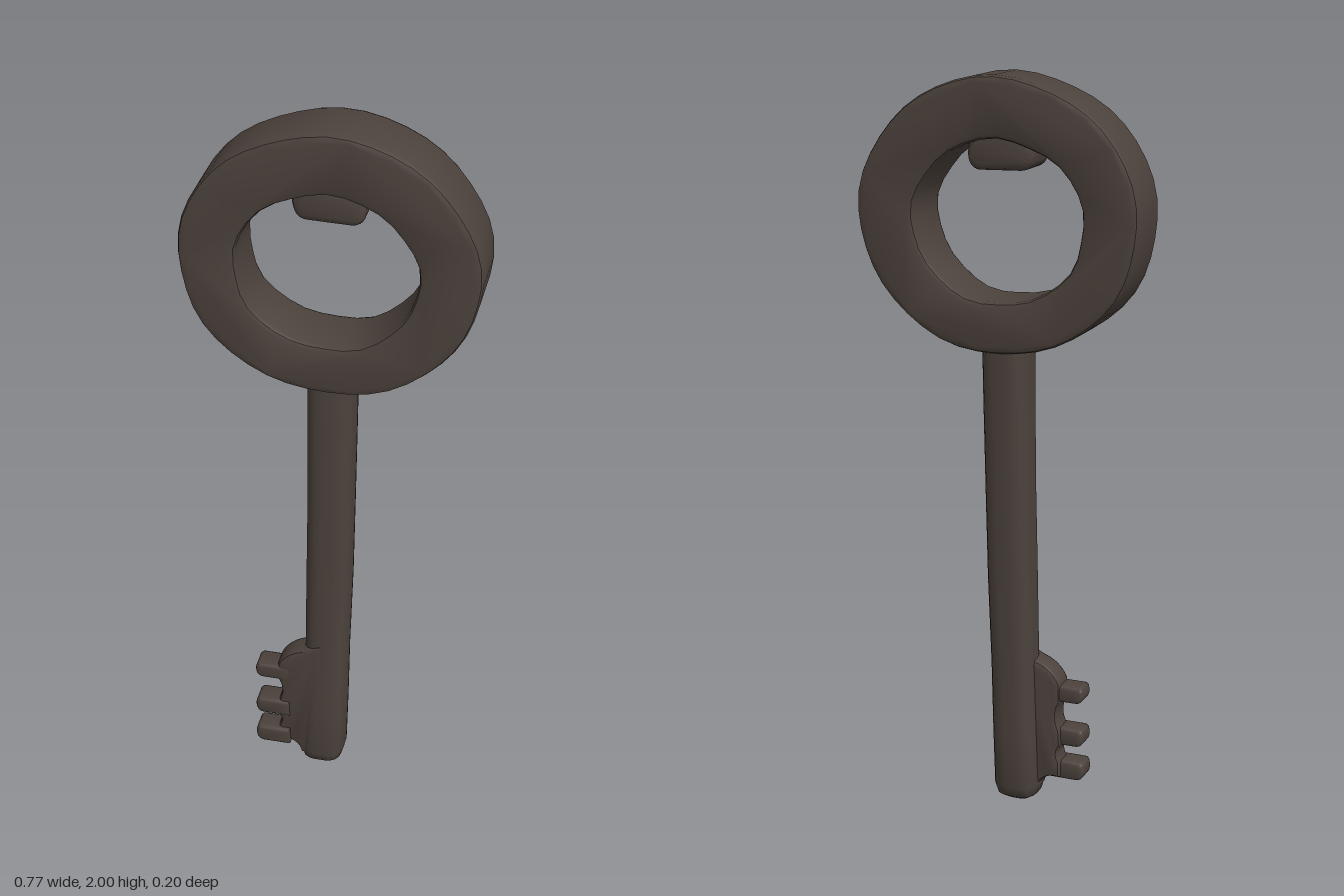
import * as THREE from 'three';
import { toCreasedNormals } from 'three/addons/utils/BufferGeometryUtils.js';

// Move every vertex of a geometry by a rule
function warp(geometry, rule) {
  const p = geometry.attributes.position;
  const v = new THREE.Vector3();
  for (let i = 0; i < p.count; i++) {
    rule(v.fromBufferAttribute(p, i));
    p.setXYZ(i, v.x, v.y, v.z);
  }
  geometry.computeVertexNormals();
  return geometry;
}

// Slightly uneven oval outline
function oval(PathType, rx, ry, cx, cy, wobble, count) {
  const points = [];
  for (let i = 0; i < count; i++) {
    const a = (i / count) * Math.PI * 2;
    const k = 1 + wobble * Math.sin(5 * a + 1) + wobble * 0.6 * Math.sin(9 * a);
    points.push(new THREE.Vector2(cx + Math.cos(a) * rx * k, cy + Math.sin(a) * ry * k));
  }
  return new PathType(points);
}

// Bevelled plate centred on z = 0
function plate(shape, depth, bevel) {
  return new THREE.ExtrudeGeometry(shape, {
    depth: depth - 2 * bevel, bevelEnabled: true, bevelThickness: bevel,
    bevelSize: bevel, bevelOffset: -bevel, bevelSegments: 2, curveSegments: 8,
  }).translate(0, 0, -depth / 2 + bevel);
}

export function createModel() {
  const key = new THREE.Group();
  key.name = 'key';
  const iron = new THREE.MeshStandardMaterial({ color: 0x4c423c });
  iron.name = 'dark iron';

  const add = (name, geometry) => {
    const mesh = new THREE.Mesh(geometry, iron);
    mesh.name = name;
    key.add(mesh);
  };

  // Thick ring handle, leaning back a little
  const ringShape = oval(THREE.Shape, 0.384, 0.357, 0, 1.645, 0.006, 44);
  ringShape.holes.push(oval(THREE.Path, 0.232, 0.21, -0.005, 1.633, 0.012, 32));
  const ring = warp(plate(ringShape, 0.175, 0.015), (v) => {
    v.z += -0.004 - (v.y - 1.645) * 0.018 - (v.z < 0 ? v.x * 0.015 : 0);
  });
  add('ring', toCreasedNormals(ring, 0.7));

  // Shaft end poking through the top of the ring's hole
  const lugShape = new THREE.Shape();
  lugShape.moveTo(-0.085, 1.86);
  lugShape.lineTo(-0.095, 1.81);
  lugShape.quadraticCurveTo(-0.092, 1.765, -0.055, 1.763);
  lugShape.lineTo(0.06, 1.76);
  lugShape.quadraticCurveTo(0.092, 1.765, 0.09, 1.81);
  lugShape.lineTo(0.08, 1.86);
  add('ringLug', toCreasedNormals(plate(lugShape, 0.13, 0.02), 0.8));

  // Shaft: rounded-square rod that drifts sideways and forward toward the foot
  const profile = [
    [0, 0], [0.035, 0.004], [0.055, 0.018], [0.062, 0.045], [0.061, 0.2], [0.059, 0.4],
    [0.061, 0.65], [0.061, 0.9], [0.062, 1.15], [0.063, 1.36], [0, 1.36],
  ].map(([r, y]) => new THREE.Vector2(r, y));
  const shaft = warp(new THREE.LatheGeometry(profile, 24), (v) => {
    const a = Math.atan2(v.z, v.x);
    const square = 1 + 0.07 * (1 - Math.cos(4 * a));
    const t = 1 - v.y / 1.3;
    v.x = v.x * square - 0.003 - 0.022 * t * t;
    v.z = v.z * square * 1.05 + 0.033 * t;
    v.y += 0.008;
  });
  add('shaft', toCreasedNormals(shaft, 0.8));

  // Bit web between the shaft and the teeth
  const web = new THREE.Shape();
  web.moveTo(-0.02, 0.45);
  web.lineTo(-0.075, 0.42);
  web.quadraticCurveTo(-0.125, 0.405, -0.145, 0.36);
  web.lineTo(-0.145, 0.305);
  web.quadraticCurveTo(-0.125, 0.265, -0.145, 0.225);
  web.lineTo(-0.148, 0.18);
  web.quadraticCurveTo(-0.13, 0.155, -0.145, 0.13);
  web.lineTo(-0.145, 0.085);
  web.quadraticCurveTo(-0.09, 0.09, -0.08, 0.04);
  web.lineTo(-0.02, 0.04);
  add('bitWeb', toCreasedNormals(plate(web, 0.075, 0.012).translate(0, 0, 0.05), 0.7));

  // Three blunt teeth
  [[0.33, 0.048, 0.055], [0.203, 0.052, 0.06], [0.102, 0.054, 0.066]].forEach(([y, height, z], i) => {
    const h = height / 2;
    const tooth = new THREE.Shape();
    tooth.moveTo(-0.11, y + h);
    tooth.lineTo(-0.195, y + h);
    tooth.quadraticCurveTo(-0.21, y + h, -0.21, y);
    tooth.quadraticCurveTo(-0.208, y - h, -0.185, y - h);
    tooth.lineTo(-0.11, y - h);
    add('tooth' + (i + 1), toCreasedNormals(plate(tooth, 0.068, 0.01).translate(0, 0, z), 0.8));
  });

  return key;
}
